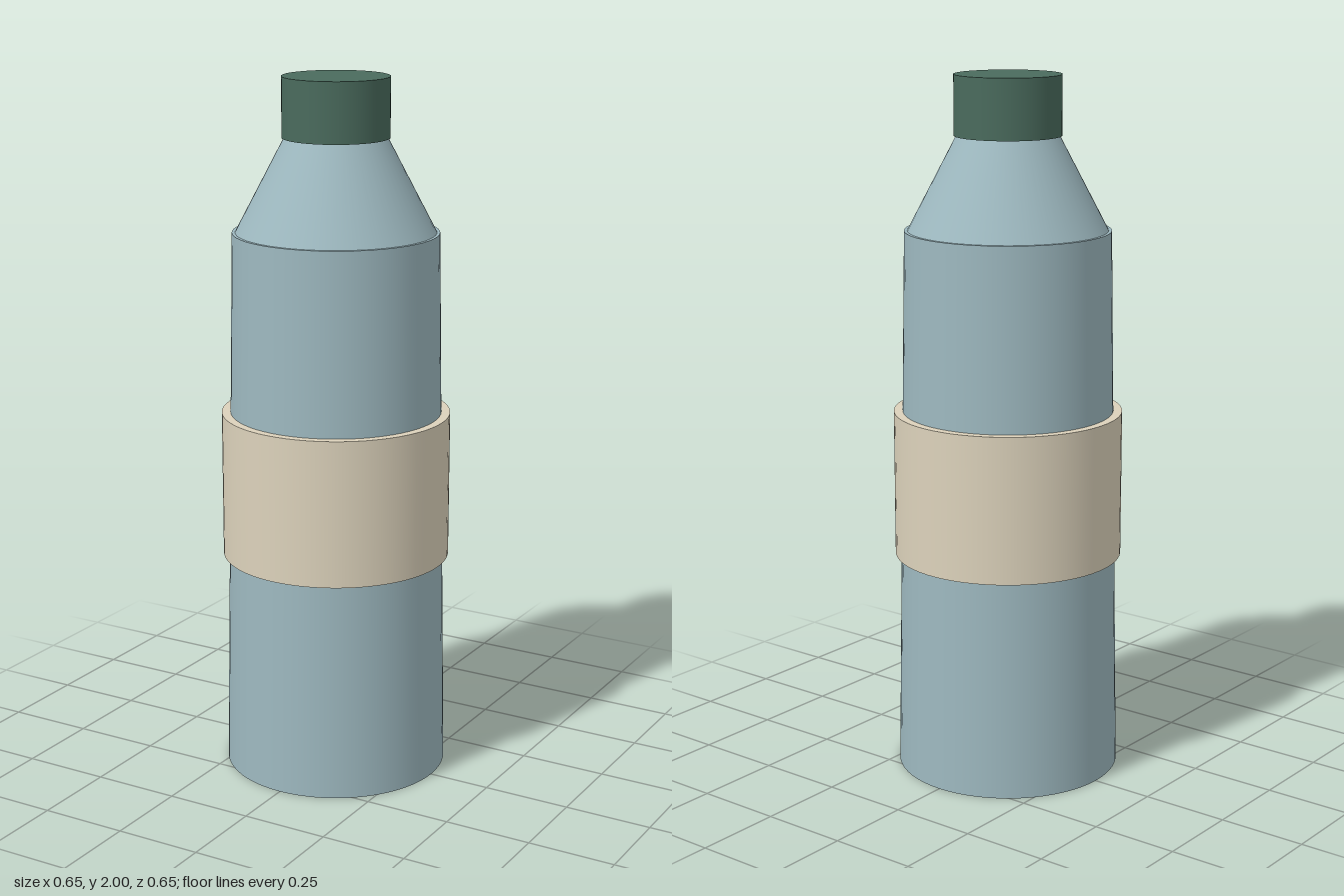
import * as THREE from 'three';

const SIDES = 64;

export function createModel() {
  const bottle = new THREE.Group();
  bottle.name = 'bottle';

  const glass = new THREE.MeshStandardMaterial({ color: 0x9db8bf });
  glass.name = 'pale blue';
  const paper = new THREE.MeshStandardMaterial({ color: 0xdcd2bb });
  paper.name = 'cream';
  const green = new THREE.MeshStandardMaterial({ color: 0x4a6b5d });
  green.name = 'dark green';

  // Closed, upright round section between two heights
  const addSection = (name, material, bottomRadius, topRadius, y0, y1) => {
    const geometry = new THREE.CylinderGeometry(topRadius, bottomRadius, y1 - y0, SIDES);
    const mesh = new THREE.Mesh(geometry, material);
    mesh.name = name;
    mesh.position.y = (y0 + y1) / 2;
    bottle.add(mesh);
  };

  // Tapered body, with a small ledge below the shoulder
  addSection('body', glass, 0.32, 0.29, 0, 1.57);
  addSection('shoulder', glass, 0.281, 0.142, 1.57, 1.835);
  // Straight band around the body
  addSection('labelBand', paper, 0.325, 0.325, 0.635, 1.055);
  addSection('cap', green, 0.15, 0.15, 1.832, 2);

  return bottle;
}
